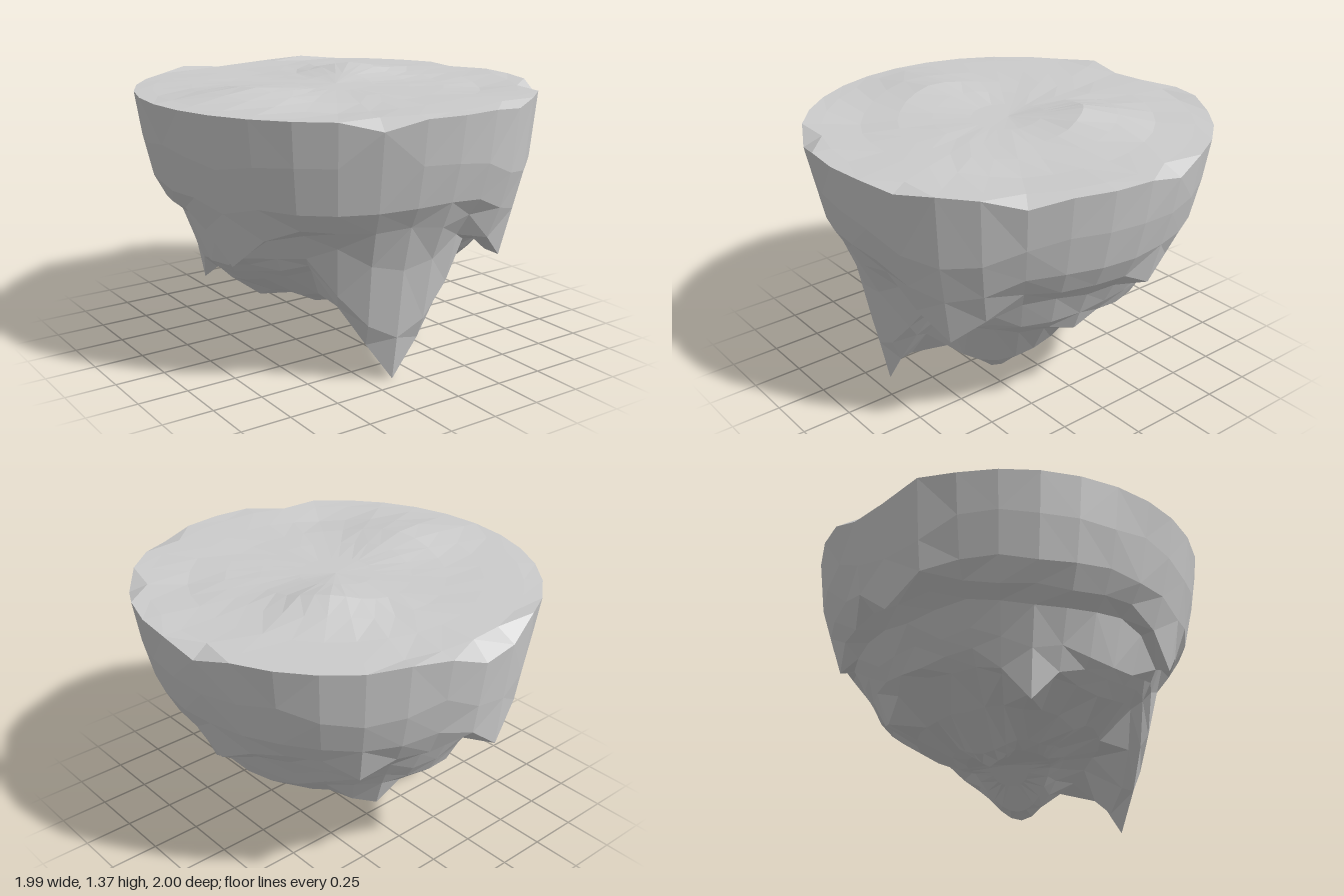
import * as THREE from 'three';

const SEG = 32;
const STEP = (Math.PI * 2) / SEG;

// Small repeatable variation in -1..1
const hash = (a, b) => {
  const s = Math.sin(a * 127.1 + b * 311.7) * 43758.5453;
  return (s - Math.floor(s)) * 2 - 1;
};

// Shortest angle between two segment positions
const angleGap = (a, b) => {
  const d = Math.abs(a - b) % SEG;
  return Math.min(d, SEG - d) * STEP;
};

// Dips and lifts of the rim: [segment, height change]
const RIM = [[5, -0.04], [9, -0.045], [30, -0.045], [16, -0.075], [17, -0.06], [18, 0.015], [14, 0.015], [2, -0.02]];

// Hanging rock points: [segment, radius, tip height, slope, roundness]
const SPIKES = [
  [31, 0.69, 0, 1.45, 0],
  [3, 0.28, 0.05, 1.35, 0.13],
  [21, 0.68, 0.28, 1.3, 0],
  [24, 0.46, 0.3, 0.9, 0.05],
  [18, 0.22, 0.16, 0.8, 0],
  [14, 0.63, 0.37, 0.9, 0],
  [13, 0.63, 0.41, 0.9, 0],
  [17, 0.95, 0.71, 0.8, 0],
  [13, 0.85, 0.66, 0.8, 0],
  [3, 0.85, 0.49, 1.0, 0],
  [9, 0.86, 0.7, 0.9, 0],
  [26, 0.85, 0.55, 1.1, 0],
  [7, 0.69, 0.48, 0.7, 0],
  [5, 0.46, 0.32, 0.8, 0],
  [11, 0.69, 0.55, 0.6, 0],
];

// Hollows between the points: [segment, radius, lift]
const POCKETS = [[1.6, 0.72, 0.1], [28.3, 0.68, 0.1], [24, 0.73, 0.06], [12, 0.73, 0.05], [19, 0.73, 0.05]];

// Underside rings: [radius, resting height]
const UNDER = [
  [0.968, 1.11], [0.92, 0.9], [0.86, 0.79], [0.79, 0.72], [0.73, 0.6], [0.685, 0.53],
  [0.62, 0.48], [0.46, 0.36], [0.28, 0.28], [0.21, 0.25], [0.1, 0.25], [0, 0.25],
];

function rimHeight(j) {
  const hit = RIM.find(([s]) => s === j);
  return 1.315 + (hit ? hit[1] : 0);
}

// The back overhang pushes the upper rings outward around segment 17
function underRadius(j, r) {
  return r > 0.9 && r < 0.95 && angleGap(j, 17) < STEP * 1.5 ? 0.945 : r;
}

function underHeight(j, r, rest, k) {
  let y = rest + (r > 0.25 ? 0.015 * hash(j, k) : 0);
  for (const [s, pr, lift] of POCKETS) {
    const d = Math.hypot(angleGap(j, s) * pr, r - pr);
    y += lift * Math.exp(-((d / 0.13) ** 2));
  }
  for (const [s, sr, tip, slope, round] of SPIKES) {
    const dr = r - sr;
    if (dr > 0.3) continue;
    // outer face of each point is much steeper than its inner face
    const out = dr > 0 ? dr * (sr > 0.9 ? 18 : sr > 0.6 ? 4 : 1.1) : dr;
    const d = Math.hypot(angleGap(j, s) * Math.min(r, sr), out);
    y = Math.min(y, tip + slope * (Math.hypot(d, round) - round));
  }
  return y;
}

function topHeight(j, r) {
  const x = Math.sin(j * STEP) * r, z = Math.cos(j * STEP) * r;
  const bump = (cx, cz, h, w) => h * Math.exp(-((x - cx) ** 2 + (z - cz) ** 2) / (w * w));
  return 1.317 + bump(0.27, -0.25, 0.06, 0.22) + bump(-0.55, 0.1, 0.045, 0.25)
    + bump(-0.45, 0.6, -0.015, 0.2) + bump(0.6, 0.4, -0.015, 0.2)
    + (r > 0.3 ? 0.003 * hash(j, r * 10) : 0);
}

// Skins a list of rings, each ring being a function of the segment -> [radius, y]
function skin(rings) {
  const points = rings.map((ring) => Array.from({ length: SEG }, (_, j) => {
    const [r, y] = ring(j);
    return new THREE.Vector3(Math.sin(j * STEP) * r * 0.995, y, Math.cos(j * STEP) * r);
  }));
  const faces = [];
  for (let k = 0; k < rings.length - 1; k++) {
    const startPole = rings[k](0)[0] === 0, endPole = rings[k + 1](0)[0] === 0;
    for (let j = 0; j < SEG; j++) {
      const n = (j + 1) % SEG;
      const a = points[k][j], b = points[k + 1][j], c = points[k + 1][n], d = points[k][n];
      if (startPole) faces.push(a, b, c);
      else if (endPole) faces.push(a, b, d);
      // split each four-sided face along its shorter diagonal
      else if (a.distanceTo(c) < b.distanceTo(d)) faces.push(a, b, c, a, c, d);
      else faces.push(a, b, d, b, c, d);
    }
  }
  const g = new THREE.BufferGeometry().setFromPoints(faces);
  g.computeVertexNormals();
  return g;
}

export function createModel() {
  const group = new THREE.Group();
  group.name = 'floatingIsland';
  const material = new THREE.MeshStandardMaterial({ color: 0xcccccc, flatShading: true, side: THREE.DoubleSide });
  const rim = (j) => [1, rimHeight(j)];

  // Gently rolling ground
  const topRings = [0, 0.18, 0.37, 0.54, 0.72, 0.91].map((r) => (j) => [r, topHeight(j, r)]);
  const ground = new THREE.Mesh(skin([...topRings, rim]), material);
  ground.name = 'ground';

  // Rocky underside with hanging points
  const underRings = UNDER.map(([r, rest], k) => (j) => [underRadius(j, r), underHeight(j, underRadius(j, r), rest, k)]);
  const rock = new THREE.Mesh(skin([rim, ...underRings]), material);
  rock.name = 'rockUnderside';

  group.add(ground, rock);
  return group;
}
